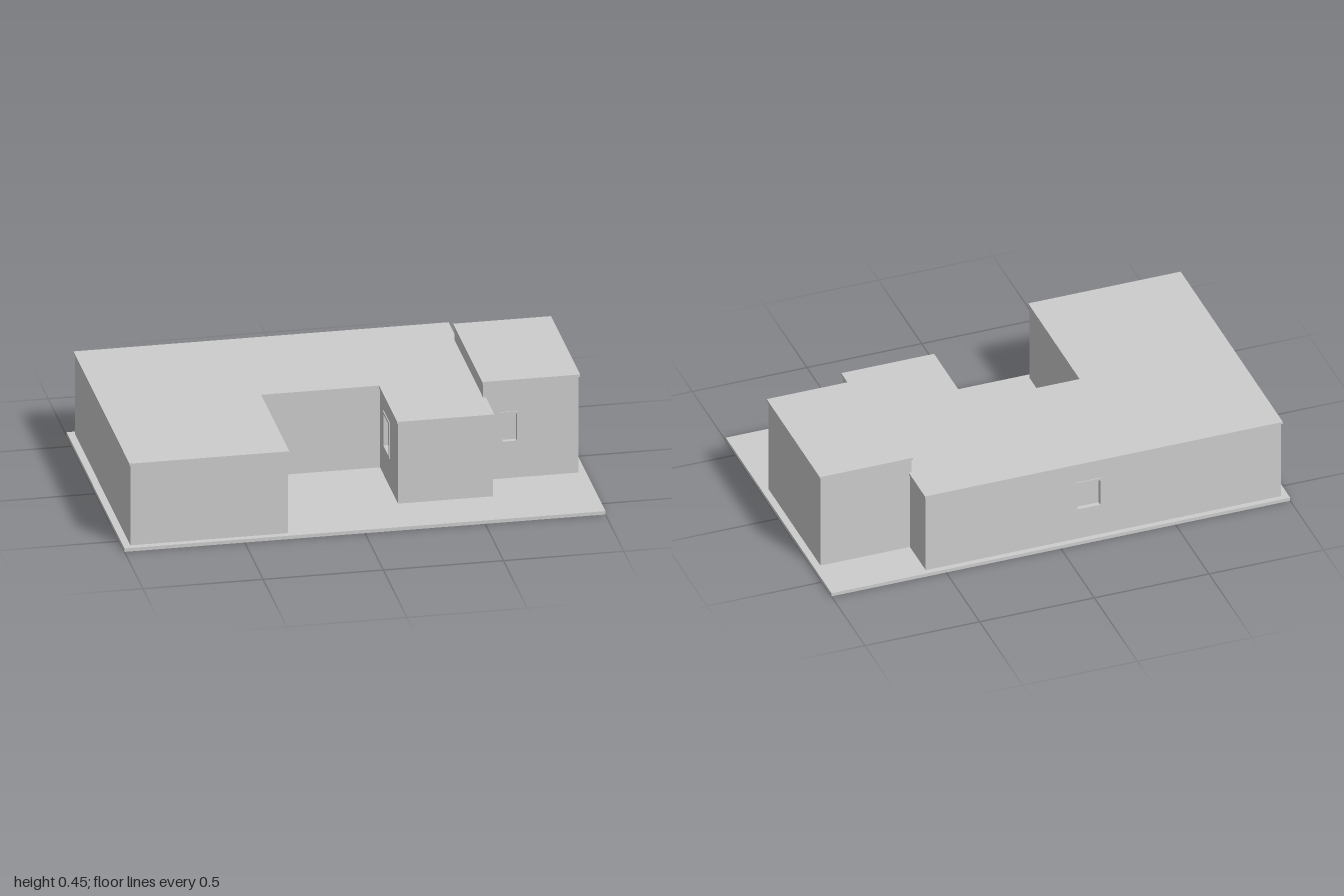
import * as THREE from 'three';

const BASE = 0.015, WALL = 0.02, ROOF = 0.01, OVERHANG = 0.005;

function rectPath(Type, x0, y0, x1, y1) {
  const p = new Type();
  p.moveTo(x0, y0);
  p.lineTo(x1, y0);
  p.lineTo(x1, y1);
  p.lineTo(x0, y1);
  p.closePath();
  return p;
}

export function createModel() {
  const plaster = new THREE.MeshStandardMaterial({ color: 0xcccccc });
  plaster.name = 'light grey';
  const model = new THREE.Group();
  model.name = 'house';

  function add(parent, name, geometry) {
    const mesh = new THREE.Mesh(geometry, plaster);
    mesh.name = name;
    parent.add(mesh);
    return mesh;
  }
  const extrude = (shape, depth) => new THREE.ExtrudeGeometry(shape, { depth, bevelEnabled: false });

  // One wall panel between two plan corners, with an optional framed window [u0, y0, u1, y1]
  function addWall(parent, a, b, height, win) {
    const dx = b[0] - a[0], dz = b[1] - a[1];
    const panel = new THREE.Group();
    panel.name = 'wall';
    panel.position.set(a[0], 0, a[1]);
    panel.rotation.y = Math.atan2(-dz, dx);
    parent.add(panel);

    const shape = rectPath(THREE.Shape, 0, BASE, Math.hypot(dx, dz), height);
    if (win) {
      const [u0, y0, u1, y1] = win, f = 0.01;
      shape.holes.push(rectPath(THREE.Path, u0, y0, u1, y1));
      const frame = rectPath(THREE.Shape, u0, y0, u1, y1);
      frame.holes.push(rectPath(THREE.Path, u0 + f, y0 + f, u1 - f, y1 - f));
      add(panel, 'windowFrame', extrude(frame, WALL + 0.004)).position.z = -WALL;
      const pane = add(panel, 'windowPane', new THREE.BoxGeometry(u1 - u0, y1 - y0, 0.004));
      pane.position.set((u0 + u1) / 2, (y0 + y1) / 2, -WALL + 0.002);
    }
    add(panel, 'wallPanel', extrude(shape, WALL)).position.z = -WALL;
  }

  // A flat-roofed block on a right-angled plan; windows are keyed by wall index
  function addBlock(name, plan, top, windows) {
    const block = new THREE.Group();
    block.name = name;
    model.add(block);
    const n = plan.length;
    const normal = (i) => {
      const a = plan[i], b = plan[(i + 1) % n];
      return [-Math.sign(b[1] - a[1]), Math.sign(b[0] - a[0])];
    };
    plan.forEach((p, i) => addWall(block, p, plan[(i + 1) % n], top - ROOF, windows[i]));

    // Roof slab: the plan pushed outwards by the overhang
    const outline = plan.map((p, i) => {
      const m = normal((i + n - 1) % n), k = normal(i);
      return new THREE.Vector2(p[0] + OVERHANG * (m[0] + k[0]), -(p[1] + OVERHANG * (m[1] + k[1])));
    });
    const roof = extrude(new THREE.Shape(outline), ROOF);
    roof.rotateX(-Math.PI / 2);
    add(block, 'roof', roof).position.y = top - ROOF;
  }

  // Ground slab
  add(model, 'baseSlab', new THREE.BoxGeometry(2, BASE, 1.225)).position.y = BASE / 2;

  // Low U-shaped block around the courtyard
  addBlock('mainBlock', [
    [-0.97, 0.585], [-0.315, 0.585], [-0.315, -0.01], [0.185, -0.01],
    [0.185, 0.373], [0.58, 0.373], [0.58, -0.588], [-0.97, -0.588],
  ], 0.38, { 3: [0.08, 0.14, 0.21, 0.3], 6: [0.65, 0.15, 0.77, 0.29] });

  // Taller block at the side
  addBlock('tallBlock', [
    [0.573, 0.2], [0.97, 0.2], [0.97, -0.405], [0.573, -0.405],
  ], 0.452, { 0: [0.069, 0.17, 0.149, 0.31] });

  return model;
}
